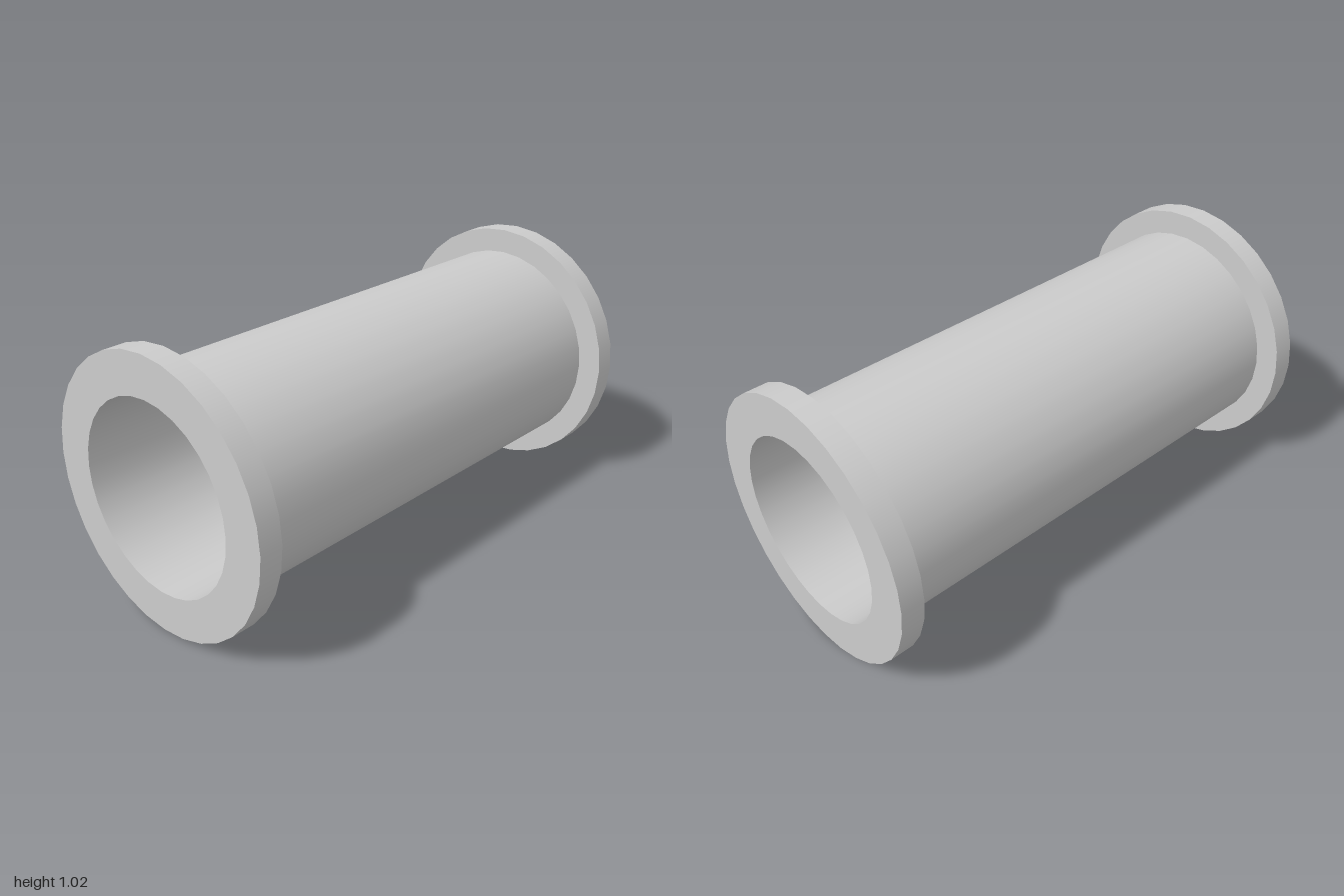
import * as THREE from 'three';

const SEGMENTS = 32;
const FLANGE_R = 0.51, BODY_R = 0.414, BORE_R = 0.355;
const END_X = 1, FLANGE_X = 0.91, FLOOR_X = 0.2;

export function createModel() {
  const model = new THREE.Group();
  model.name = 'flangedPipe';
  const material = new THREE.MeshStandardMaterial({ color: 0xcccccc });
  const boreMaterial = new THREE.MeshStandardMaterial({ color: 0xcccccc, side: THREE.BackSide });

  // Everything is built along y, then laid along x at axis height
  const add = (name, geometry, parent, mat = material) => {
    geometry.rotateZ(-Math.PI / 2).translate(0, FLANGE_R, 0);
    const mesh = new THREE.Mesh(geometry, mat);
    mesh.name = name;
    parent.add(mesh);
  };
  const tube = (radius, from, to) =>
    new THREE.CylinderGeometry(radius, radius, Math.abs(to - from), SEGMENTS, 1, true)
      .translate(0, (from + to) / 2, 0);
  const lay = (flat, x, facing) => flat.rotateX(-facing * Math.PI / 2).translate(0, x, 0);
  const ring = (inner, outer) => new THREE.RingGeometry(inner, outer, SEGMENTS);

  // Outer wall of the pipe
  add('pipeBody', tube(BODY_R, -FLANGE_X, FLANGE_X), model);

  for (const side of [-1, 1]) {
    const end = new THREE.Group();
    end.name = side > 0 ? 'leftEnd' : 'rightEnd';
    model.add(end);

    // Flange: rim, outer face and inner shoulder
    add('flangeRim', tube(FLANGE_R, side * FLANGE_X, side * END_X), end);
    add('flangeFace', lay(ring(BORE_R, FLANGE_R), side * END_X, side), end);
    add('flangeShoulder', lay(ring(BODY_R, FLANGE_R), side * FLANGE_X, -side), end);

    // Bore, closed by a floor deep inside
    add('boreWall', tube(BORE_R, side * FLOOR_X, side * END_X), end, boreMaterial);
    add('boreFloor', lay(new THREE.CircleGeometry(BORE_R, SEGMENTS), side * FLOOR_X, side), end);
  }
  return model;
}
